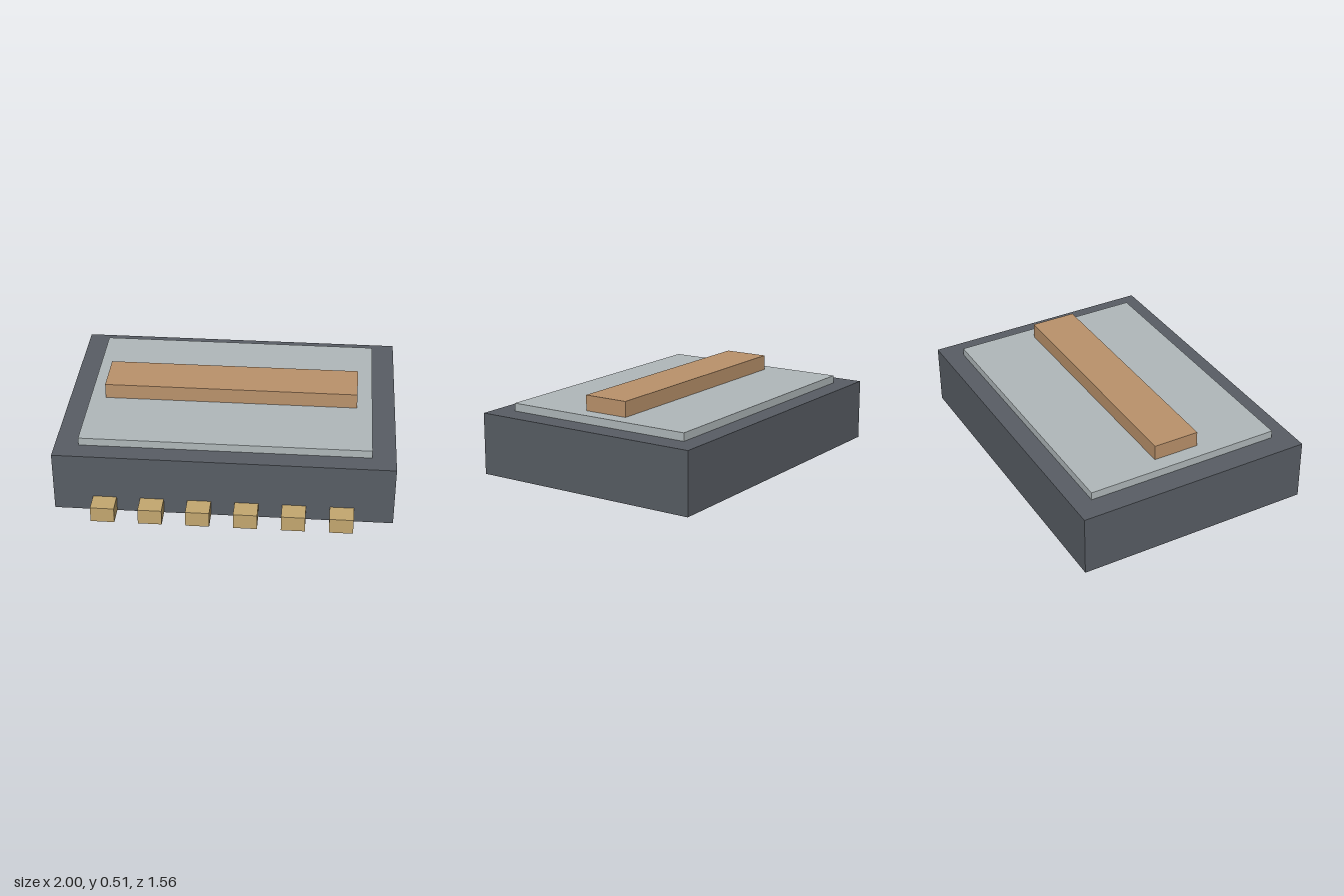
import * as THREE from 'three';

const paint = (name, color) => {
  const m = new THREE.MeshStandardMaterial({ color });
  m.name = name;
  return m;
};

// Box given by its minimum and maximum on each axis
function block(name, material, [x0, x1], [y0, y1], [z0, z1]) {
  const mesh = new THREE.Mesh(new THREE.BoxGeometry(x1 - x0, y1 - y0, z1 - z0), material);
  mesh.position.set((x0 + x1) / 2, (y0 + y1) / 2, (z0 + z1) / 2);
  mesh.name = name;
  return mesh;
}

export function createModel() {
  const charcoal = paint('charcoal', 0x585d64);
  const paleGrey = paint('pale grey', 0xb0b8ba);
  const copper = paint('copper', 0xba926b);
  const brass = paint('brass', 0xc3a76f);

  const model = new THREE.Group();
  model.name = 'connectorModule';

  // Housing with a raised lid and a long bar on top
  model.add(
    block('housing', charcoal, [-1, 1], [0, 0.372], [-0.78, 0.66]),
    block('lid', paleGrey, [-0.86, 0.86], [0.372, 0.42], [-0.66, 0.54]),
    block('topBar', copper, [-0.767, 0.767], [0.42, 0.513], [-0.2, 0.08])
  );

  // Row of six contacts along the foot of the front face
  const contacts = new THREE.Group();
  contacts.name = 'contacts';
  for (let i = 0; i < 6; i++) {
    const x = (i - 2.5) * 0.279;
    contacts.add(block(`contact${i + 1}`, brass, [x - 0.07, x + 0.07], [0, 0.095], [0.66, 0.78]));
  }
  model.add(contacts);
  return model;
}
